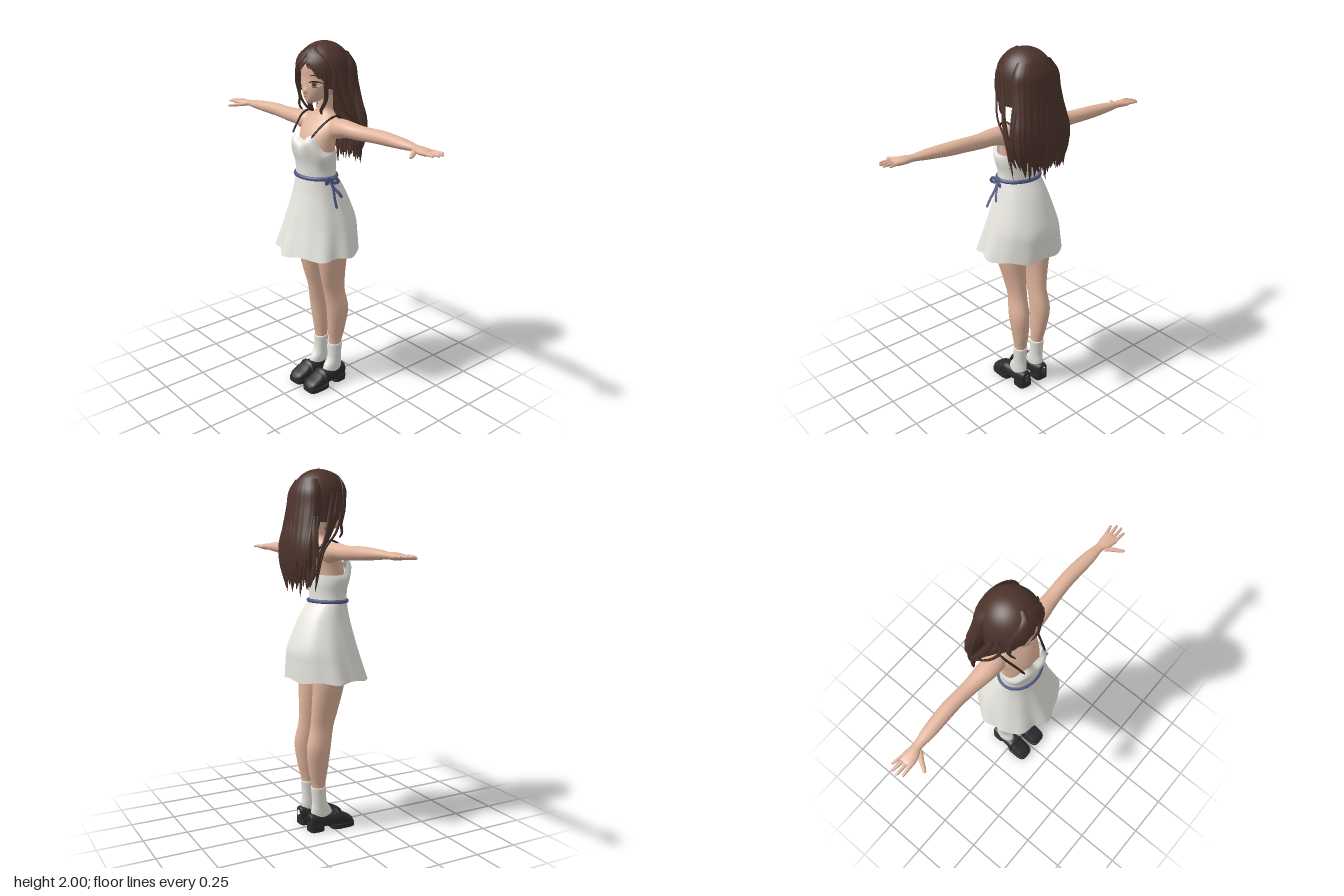
import * as THREE from 'three';
import { mergeVertices, toCreasedNormals } from 'three/addons/utils/BufferGeometryUtils.js';

const V = (x, y, z) => new THREE.Vector3(x, y, z);
const gauss = (x, w) => Math.exp(-((x / w) ** 2));
const mat = (name, color, side = THREE.FrontSide) => {
  const m = new THREE.MeshStandardMaterial({ color, side });
  m.name = name;
  return m;
};

// Grid surface: u runs right, v runs up, seen from outside
function surf(fn, nu, nv) {
  const pos = [], idx = [], w = nu + 1;
  for (let j = 0; j <= nv; j++) for (let i = 0; i <= nu; i++) pos.push(...fn(i / nu, j / nv).toArray());
  for (let j = 0; j < nv; j++) for (let i = 0; i < nu; i++) {
    const a = j * w + i;
    idx.push(a, a + 1, a + w + 1, a, a + w + 1, a + w);
  }
  const g = new THREE.BufferGeometry();
  g.setAttribute('position', new THREE.Float32BufferAttribute(pos, 3));
  g.setIndex(idx);
  const m = mergeVertices(g, 1e-5);
  m.computeVertexNormals();
  return m;
}

// Loft through rows of [y, xMin, xMax, zMin, zMax]
function loft(rows, { n = 32, nv = 28, pw = 1, hard = false, shape } = {}) {
  const Interp = hard ? THREE.LinearInterpolant : THREE.CubicInterpolant;
  const it = new Interp(rows.map((_, i) => i), rows.flat(), 5);
  const pow = s => Math.sign(s) * Math.abs(s) ** pw;
  const g = surf((u, v) => {
    const [y, x0, x1, z0, z1] = it.evaluate(v * (rows.length - 1));
    const a = (u * 2 - 1) * Math.PI;
    const p = V((x0 + x1) / 2 + (x1 - x0) / 2 * pow(Math.sin(a)), y, (z0 + z1) / 2 + (z1 - z0) / 2 * pow(Math.cos(a)));
    if (shape) shape(p, a, v);
    return p;
  }, n, hard ? rows.length - 1 : nv);
  return hard ? toCreasedNormals(g, 0.7) : g;
}
const sym = rows => rows.map(([y, x, z0, z1]) => [y, -x, x, z0, z1]);

// Flattened strand along a curve, facing the direction "out"
const taper = v => Math.sqrt(Math.max(0, 1 - v ** 2.5)) * (0.45 + 0.55 * Math.min(1, v * 4));
function strand(pts, w, t, out, profile = taper, nv = 14) {
  const curve = new THREE.CatmullRomCurve3(pts.map(p => V(...p)));
  return surf((u, v) => {
    const T = curve.getTangent(v), S = T.clone().cross(out).normalize(), N = S.clone().cross(T);
    const a = u * Math.PI * 2, k = profile(v);
    return curve.getPoint(v).addScaledVector(S, w * k * Math.sin(a)).addScaledVector(N, t * k * Math.cos(a));
  }, 8, nv);
}
const even = v => (v === 0 || v === 1 ? 0 : 1);
const finger = v => (v === 1 ? 0 : 1 - 0.45 * v * v);

export function createModel() {
  const model = new THREE.Group();
  const skin = mat('skin', 0xe0b49c), hair = mat('brown hair', 0x4d342c, THREE.DoubleSide);
  const cloth = mat('white cloth', 0xe8e6df, THREE.DoubleSide), blue = mat('blue ribbon', 0x505a86);
  const black = mat('black leather', 0x2b2b2d), iris = mat('amber iris', 0x8a6040);
  const dark = mat('dark lash', 0x2c1c18), lip = mat('lip', 0xb5746a);
  const add = (name, g, m, parent = model) => {
    const mesh = new THREE.Mesh(g, m);
    mesh.name = name;
    parent.add(mesh);
    return mesh;
  };
  let seed = 7;
  const rand = () => (seed = (seed * 16807) % 2147483647) / 2147483647;

  // Body
  add('torso', loft(sym([
    [1.2, .1, -.08, .08], [1.3, .108, -.075, .09], [1.42, .115, -.076, .095], [1.49, .118, -.082, .085],
    [1.55, .128, -.09, .055], [1.595, .12, -.092, .02], [1.62, .08, -.09, 0], [1.645, .05, -.09, -.01],
    [1.68, .044, -.092, -.012], [1.76, .042, -.09, -.01]])), skin);
  add('underwear', loft(sym([[.93, .01, -.06, 0], [.95, .08, -.11, .05], [1.02, .155, -.125, .08],
    [1.12, .14, -.12, .085], [1.22, .11, -.08, .09]])), cloth);

  // Dress
  const top = a => 1.44 + .085 * gauss(Math.abs(a) - .55, .4) + .04 * gauss(a, .35);
  add('bodice', loft(sym([[1.29, .124, -.085, .108], [1.36, .122, -.085, .115], [1.43, .132, -.086, .134],
    [1.47, .133, -.084, .135], [1.5, .125, -.082, .108]]), {
    n: 64, shape: (p, a, v) => {
      p.y = 1.29 + (p.y - 1.29) * (top(a) - 1.29) / .21;
      p.z -= .014 * gauss(a, .22) * v;
    } }), cloth);
  add('skirt', loft(sym([[.872, .245, -.222, .222], [.96, .222, -.22, .195], [1.05, .197, -.212, .168],
    [1.2, .15, -.15, .127], [1.3, .124, -.085, .108]]), {
    n: 120, shape: (p, a, v) => {
      const k = 1 + (1 - v) * (.045 * Math.cos(7 * a) + .025 * Math.cos(11 * a + 1)) * (.6 + .4 * Math.cos(a));
      p.x *= k;
      p.z *= k;
      p.y -= .006 * (1 - v) * Math.cos(7 * a);
    } }), cloth);
  const ring = [...Array(16)].map((_, i) => V(.125 * Math.sin(i * Math.PI / 8), 1.296, .012 + .099 * Math.cos(i * Math.PI / 8)));
  add('belt', new THREE.TubeGeometry(new THREE.CatmullRomCurve3(ring, true), 64, .011, 8, true), blue);
  const bow = new THREE.Group();
  bow.name = 'bow';
  model.add(bow);
  const knot = add('knot', new THREE.SphereGeometry(.014, 12, 8), blue, bow);
  knot.position.set(.132, 1.296, .025);
  const ribbons = [
    [[.132, 1.296, .025], [.155, 1.25, .02], [.18, 1.2, .03], [.205, 1.15, .035]],
    [[.132, 1.296, .025], [.15, 1.25, .012], [.17, 1.225, -.005], [.182, 1.195, -.022]],
    [[.132, 1.296, .025], [.148, 1.305, .05], [.15, 1.285, .065], [.14, 1.28, .045], [.132, 1.294, .025]],
    [[.132, 1.296, .025], [.15, 1.3, 0], [.152, 1.28, -.02], [.143, 1.275, 0], [.132, 1.294, .025]]];
  for (const r of ribbons) add('ribbon', strand(r, .009, .003, V(1, .2, 0), even, 20), blue, bow);

  // Limbs on the left, mirrored below
  const left = new THREE.Group();
  left.name = 'leftLimbs';
  const arm = loft([[.07, -.02, .04, -.07, -.01], [.12, -.042, .065, -.092, .015], [.2, -.042, .046, -.087, .016],
    [.3, -.033, .043, -.082, 0], [.4, -.034, .037, -.085, -.008], [.48, -.033, .034, -.085, -.008],
    [.6, -.025, .026, -.075, -.006], [.68, -.015, .019, -.06, -.012], [.72, -.015, .022, -.062, .006],
    [.765, -.01, .02, -.066, .014], [.785, -.004, .012, -.06, .008], [.79, .004, .005, -.03, -.02]], { nv: 44 });
  arm.rotateZ(-Math.PI / 2).translate(0, 1.57, 0);
  add('arm', arm, skin, left);
  [[-.054, .828, -.07], [-.036, .85, -.045], [-.016, .852, -.017], [.004, .838, .01]].forEach(([z, x, tz]) =>
    add('finger', strand([[.755, 1.566, z], [(.765 + x) / 2, 1.568, (z + tz) / 2], [x, 1.566, tz]], .0095, .009, V(0, 1, 0), finger), skin, left));
  add('thumb', strand([[.695, 1.562, -.01], [.725, 1.558, .025], [.74, 1.556, .05], [.758, 1.555, .076]], .013, .01, V(0, 1, 0), finger), skin, left);
  add('leg', loft([[.08, .035, .09, -.11, -.04], [.25, .029, .098, -.118, -.042], [.35, .026, .112, -.14, -.03],
    [.48, .025, .13, -.155, -.016], [.6, .026, .12, -.132, .004], [.7, .023, .134, -.125, .03],
    [.85, .012, .168, -.12, .06], [1, .004, .17, -.12, .078], [1.08, .02, .13, -.09, .06]], { nv: 40 }), skin, left);
  add('sock', loft([[.05, .03, .1, -.12, .01], [.11, .026, .101, -.124, 0], [.16, .027, .1, -.118, -.03],
    [.21, .025, .102, -.12, -.036], [.252, .022, .104, -.124, -.036], [.256, .03, .097, -.118, -.042]]), cloth, left);
  // Shoe rows run heel to toe
  const shoe = loft([[-.142, .05, .08, -.085, -.03], [-.134, .032, .097, -.102, -.018], [-.08, .022, .104, -.1, -.018],
    [-.02, .018, .109, -.098, -.016], [.03, .014, .114, -.098, -.014], [.075, .013, .117, -.075, -.01],
    [.115, .022, .11, -.055, -.01], [.132, .045, .088, -.035, -.015]], { pw: .75 });
  shoe.rotateX(Math.PI / 2);
  add('shoe', shoe, black, left);
  const slab = (z0, z1, x0, x1, h) => {
    const cx = (x0 + x1) / 2, cz = (z0 + z1) / 2;
    return loft([[0, cx, cx, cz, cz], [0, x0, x1, z0, z1], [h, x0, x1, z0, z1], [h, cx, cx, cz, cz]], { hard: true, pw: .55 });
  };
  add('heel', slab(-.143, -.055, .02, .106, .036), black, left);
  add('sole', slab(-.01, .135, .01, .12, .024), black, left);
  add('shoeStrap', strand([[.014, .045, .035], [.03, .088, .033], [.064, .101, .03], [.098, .088, .033], [.115, .045, .035]],
    .016, .004, V(0, .8, .6), even), black, left);
  // Shoulder strap
  add('strap', strand([[.078, 1.52, .108], [.092, 1.565, .068], [.11, 1.612, .01], [.11, 1.622, -.04],
    [.095, 1.58, -.092], [.05, 1.5, -.098], [.02, 1.44, -.09]], .006, .005, V(0, .7, .3), even, 30), dark, left);
  const right = left.clone();
  right.name = 'rightLimbs';
  right.scale.x = -1;
  model.add(left, right);

  // Head
  const head = add('head', loft(sym([[1.684, .008, .045, .06], [1.7, .034, -.02, .073], [1.73, .065, -.08, .08],
    [1.77, .087, -.12, .083], [1.82, .097, -.15, .082], [1.88, .1, -.16, .084], [1.94, .085, -.14, .06], [1.975, .02, -.06, 0]]), {
    n: 64, nv: 50, pw: .92, shape: (p, a) => { p.z += .014 * gauss(a, .12) * gauss(p.y - 1.752, .014); } }), skin);

  // Face details laid on the head
  const ray = new THREE.Raycaster();
  function decal(name, x, y, w, h, bend, m, lift) {
    const g = new THREE.CircleGeometry(1, 24), p = g.attributes.position;
    for (let i = 0; i < p.count; i++) {
      const px = x + p.getX(i) * w, py = y + p.getY(i) * h - bend * p.getX(i) ** 2;
      ray.set(V(px, py, 1), V(0, 0, -1));
      const hit = ray.intersectObject(head)[0];
      p.setXYZ(i, px, py, (hit ? hit.point.z : .05) + lift);
    }
    g.computeVertexNormals();
    add(name, g, m);
  }
  for (const s of [-1, 1]) {
    decal('eyeWhite', s * .056, 1.79, .024, .013, 0, cloth, .002);
    decal('iris', s * .055, 1.79, .012, .013, 0, iris, .0035);
    decal('pupil', s * .055, 1.79, .005, .007, 0, dark, .005);
    decal('upperLash', s * .057, 1.805, .028, .004, .009, dark, .006);
    decal('lowerLash', s * .057, 1.776, .016, .0015, -.003, dark, .004);
    decal('eyebrow', s * .055, 1.836, .024, .0025, .005, hair, .004);
  }
  decal('mouth', 0, 1.722, .013, .003, .001, lip, .003);

  // Hair cap with a raised front hairline
  const capAt = (a, y, lift = 0) => {
    const phi = Math.asin(Math.min(1, (y - 1.845) / .153)), r = (phi < 0 ? 1 : Math.cos(phi)) + lift;
    return [.143 * r * Math.sin(a), y + lift * .1, -.043 + .149 * r * Math.cos(a)];
  };
  add('hairCap', surf((u, v) => {
    const a = (u * 2 - 1) * Math.PI;
    const low = Math.max(1.72, 1.9 - .12 * Math.abs(a - .06) ** 1.2 + .008 * Math.sin(a * 17));
    const k = Math.sin(v * Math.PI / 2);
    return V(...capAt(a, low + (1.998 - low) * k));
  }, 72, 28), hair);

  // Fringe locks sweeping from the parting
  for (const s of [-1, 1]) for (let i = 0; i < 6; i++) {
    const e = .3 + i * .17, mid = V(...capAt(s * e * .8, 1.9)).sub(V(0, 1.84, -.043)).normalize();
    const pts = [[.1, 1.985], [.35, 1.95], [.75, 1.9], [1, 1.885 - i * .02]].map(([f, y]) => capAt(.06 + s * e * f, y, .012));
    add('fringeLock', strand(pts, .02, .006, mid), hair);
  }
  add('fringeStrand', strand([[.03, 1.93, .088], [.02, 1.9, .105], [-.01, 1.865, .108], [-.035, 1.83, .1]], .012, .005, V(0, .2, 1)), hair);

  // Long back hair
  add('backHair', loft(sym([[1.42, .12, -.205, -.15], [1.5, .172, -.228, -.14], [1.6, .18, -.235, -.12], [1.7, .162, -.222, -.08],
    [1.8, .148, -.207, -.05], [1.88, .138, -.195, -.05], [1.94, .1, -.165, -.05]]), {
    n: 96, shape: (p, a, v) => {
      p.y -= .06 * Math.max(0, 1 - v * 4) * Math.sin(a * 13) * Math.cos(a * 5);
      p.z -= .004 * Math.sin(a * 24) * (1 - v);
    } }), hair);
  for (let i = 0; i < 30; i++) {
    const f = (i % 15) / 7 - 1, back = i < 15, x = f * .172, edge = f * f;
    const z = back ? -.222 + .06 * edge : -.14 - .02 * (1 - edge);
    const tip = 1.31 + .07 * edge + rand() * .1;
    add('backLock', strand([[x * .86, 1.75, z + .012], [x, 1.62, z - .004], [x * 1.04, 1.5, z],
      [x * .93 + (rand() - .5) * .03, tip, z * .4 - .108]], .017, .009, V(f * .5, 0, back ? -1 : 1)), hair);
  }

  // Side locks framing the face
  for (const s of [-1, 1]) {
    const lock = (w, t, pts) => add('sideLock', strand(pts.map(([x, y, z]) => [s * x, y, z]), w, t, V(s, 0, .3)), hair);
    lock(.013, .005, [[.115, 1.88, .05], [.122, 1.79, .045], [.108, 1.71, .035], [.09, 1.66, .05], [.082, 1.635, .035]]);
    lock(.02, .008, [[.137, 1.88, 0], [.142, 1.78, -.01], [.15, 1.69, -.045], [.17, 1.6, -.1], [.165, 1.48, -.13]]);
    lock(.022, .009, [[.14, 1.87, -.03], [.15, 1.76, -.05], [.178, 1.64, -.09], [.188, 1.54, -.13], [.172, 1.36, -.155]]);
    lock(.009, .005, [[.138, 1.84, .01], [.15, 1.74, .005], [.18, 1.66, -.04], [.194, 1.58, -.11], [.19, 1.42, -.15]]);
  }
  return model;
}
